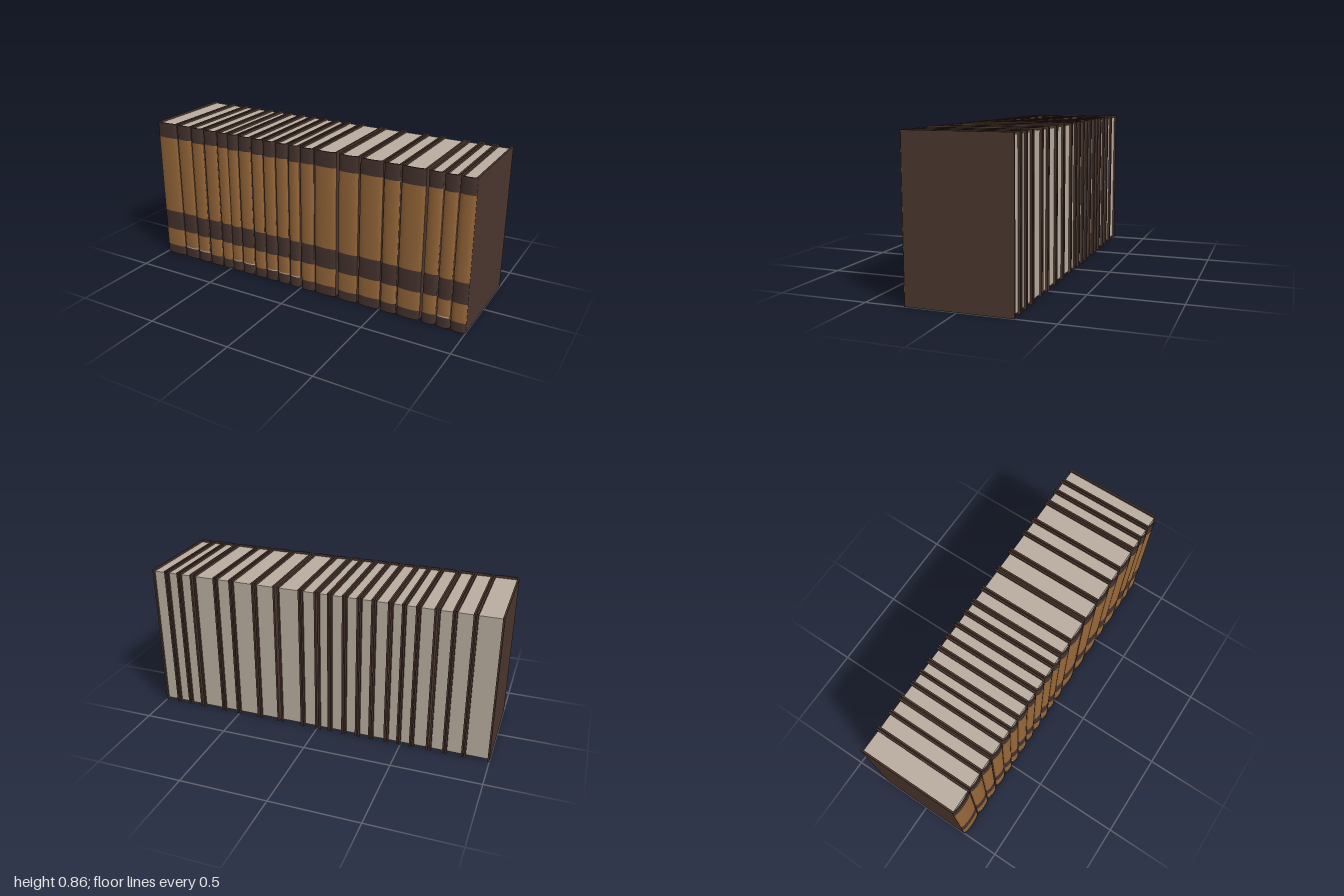
import * as THREE from 'three';
import { toCreasedNormals } from 'three/addons/utils/BufferGeometryUtils.js';

const H = 0.86, BACK = -0.293, HINGE = 0.279, FRONT = 0.293;
const COVER = 0.01, LIP = 0.012;

const mat = (name, color) => {
  const m = new THREE.MeshStandardMaterial({ color });
  m.name = name;
  return m;
};

// left and right edge of each book along x
const BOOKS = [
  [-1, -0.86], [-0.855, -0.755], [-0.75, -0.667], [-0.657, -0.567], [-0.561, -0.491],
  [-0.487, -0.42], [-0.412, -0.33], [-0.322, -0.25], [-0.242, -0.168], [-0.16, -0.084],
  [-0.076, -0.011], [0, 0.085], [0.092, 0.225], [0.24, 0.359], [0.369, 0.5],
  [0.507, 0.598], [0.605, 0.737], [0.75, 0.827], [0.834, 0.907], [0.914, 1],
];

// books with a thin pale rule near the foot of the spine
const RULED = [1, 2, 5, 6, 8, 9, 10, 18];

// curved spine cross-section, extruded upwards between two heights
function spineBand(width, y0, y1) {
  const outer = [], inner = [], n = 8;
  for (let i = 0; i <= n; i++) {
    const t = -Math.cos((i / n) * Math.PI);
    const z = HINGE + (FRONT - HINGE) * Math.sqrt(Math.max(0, 1 - t * t));
    outer.push(new THREE.Vector2((t * width) / 2, -z));
    inner.unshift(new THREE.Vector2(t * (width / 2 - 0.004), -(z - 0.008)));
  }
  const shape = new THREE.Shape([...outer, ...inner]);
  const g = new THREE.ExtrudeGeometry(shape, { depth: y1 - y0, bevelEnabled: false });
  g.rotateX(-Math.PI / 2).translate(0, y0, 0);
  return toCreasedNormals(g, 0.8);
}

export function createModel() {
  const cover = mat('dark brown cover', 0x4b362e);
  const band = mat('dark spine band', 0x45332e);
  const tan = mat('tan leather', 0x966739);
  const paper = mat('paper', 0xb9ad9f);

  const root = new THREE.Group();
  root.name = 'bookRow';

  const add = (parent, name, geometry, material, x = 0, y = 0, z = 0) => {
    const mesh = new THREE.Mesh(geometry, material);
    mesh.name = name;
    mesh.position.set(x, y, z);
    parent.add(mesh);
  };

  BOOKS.forEach(([x0, x1], i) => {
    const w = x1 - x0;
    const book = new THREE.Group();
    book.name = 'book' + (i + 1);
    book.position.x = (x0 + x1) / 2;
    root.add(book);

    // boards on both sides
    for (const s of [-1, 1]) {
      add(book, s < 0 ? 'rightBoard' : 'leftBoard',
        new THREE.BoxGeometry(COVER, H, HINGE - BACK), cover,
        s * (w - COVER) / 2, H / 2, (HINGE + BACK) / 2);
    }

    // page block, set in from the board edges
    const pageBack = BACK + LIP, pageFront = HINGE - 0.002;
    add(book, 'pages',
      new THREE.BoxGeometry(w - 2 * COVER, H - 2 * LIP, pageFront - pageBack), paper,
      0, H / 2, (pageFront + pageBack) / 2);

    // spine in alternating dark and tan bands, each book slightly offset
    const d = 0.003 * Math.sin(i * 2.3);
    const ruled = RULED.includes(i);
    const foot = ruled ? 0.062 : 0.058 + d;
    const bands = [
      ['footBand', 0, foot, band],
      ['lowerPanel', ruled ? 0.069 : foot, 0.17 + d, tan],
      ['middleBand', 0.17 + d, 0.293 + d, band],
      ['upperPanel', 0.293 + d, 0.77 + d, tan],
      ['headBand', 0.77 + d, H, band],
    ];
    if (ruled) bands.push(['paleRule', foot, 0.069, paper]);
    for (const [name, y0, y1, m] of bands) add(book, name, spineBand(w, y0, y1), m);
  });

  return root;
}
